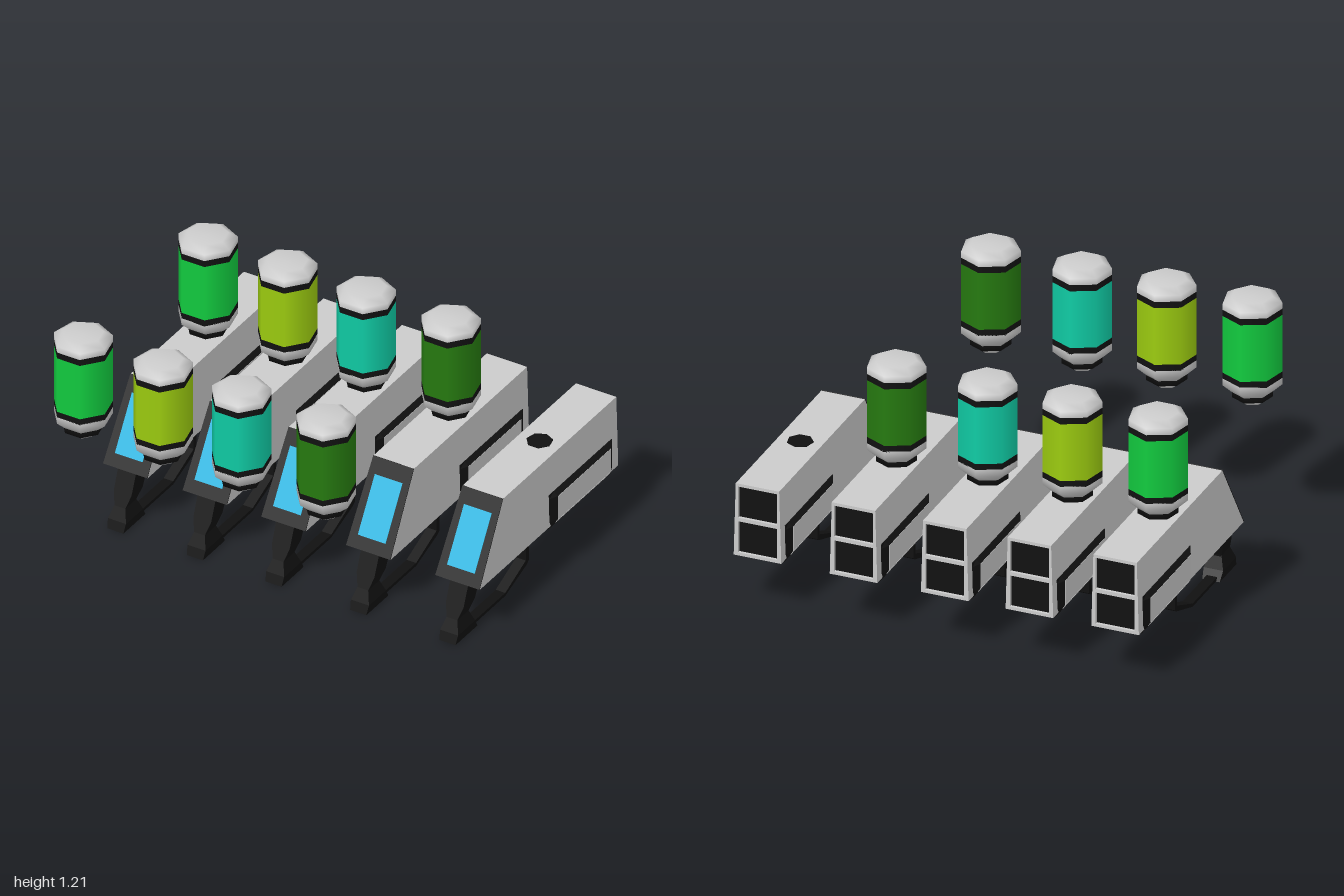
import * as THREE from 'three';

const mat = (color) => new THREE.MeshStandardMaterial({ color });
const grey = mat(0xcccccc), black = mat(0x111111), blue = mat(0x1fb5e0), red = mat(0x7a2c1c);

function add(parent, name, geometry, material, x = 0, y = 0, z = 0) {
  const mesh = new THREE.Mesh(geometry, material);
  mesh.name = name;
  mesh.position.set(x, y, z);
  parent.add(mesh);
  return mesh;
}

// Move every vertex by a rule, then give each face its own flat normal
function warp(geometry, rule) {
  const g = geometry.index ? geometry.toNonIndexed() : geometry;
  const p = g.attributes.position;
  for (let i = 0; i < p.count; i++) p.setXYZ(i, ...rule(p.getX(i), p.getY(i), p.getZ(i)));
  g.computeVertexNormals();
  return g;
}

const points = (list) => list.map(([x, y]) => new THREE.Vector2(x, y));
const outline = (list) => new THREE.Shape(points(list));

// Seven-sided turned piece, one corner pointing backwards
const turned = (list) => new THREE.LatheGeometry(points(list), 7, Math.PI, Math.PI * 2);

// Body measures
const LOW = 0.275, HIGH = 0.635, BACK = -0.835;
const frontZ = (y) => 0.345 - (y - LOW) / (HIGH - LOW) * 0.217;

function bodyGeometry() {
  const shape = outline([[-0.115, LOW], [0.115, LOW], [0.105, HIGH], [-0.105, HIGH]]);
  for (const [a, b] of [[0.29, 0.446], [0.464, 0.62]]) {
    shape.holes.push(new THREE.Path(points([[-0.094, a], [-0.094, b], [0.094, b], [0.094, a]])));
  }
  const g = new THREE.ExtrudeGeometry(shape, { depth: 1, bevelEnabled: false });
  return warp(g, (x, y, z) => [x, y, z > 0.5 ? frontZ(y) : BACK]);
}

// Grip lofted through rows of [y, front z, back z, half width]
function gripGeometry() {
  const rows = [
    [0.005, 0.432, 0.245, 0.042], [0.05, 0.418, 0.272, 0.047], [0.11, 0.393, 0.298, 0.028],
    [0.17, 0.37, 0.272, 0.046], [0.28, 0.328, 0.22, 0.047],
  ];
  return warp(new THREE.BoxGeometry(1, 1, 1, 1, 4, 1), (x, y, z) => {
    const [h, front, back, half] = rows[Math.round((y + 0.5) * 4)];
    return [Math.sign(x) * half, h, z > 0 ? front : back];
  });
}

// Side housing: bulges past the body, chamfered on all four edges
function housingGeometry() {
  const rows = [[0.258, 0.107], [0.298, 0.132], [0.422, 0.132], [0.442, 0.113]];
  const cols = [[-0.785, 0.114], [-0.745, 0.132], [-0.29, 0.132], [-0.25, 0.114]];
  return warp(new THREE.BoxGeometry(1, 1, 1, 1, 3, 3), (x, y, z) => {
    const [h, a] = rows[Math.round((y + 0.5) * 3)];
    const [d, b] = cols[Math.round((z + 0.5) * 3)];
    return [Math.sign(x) * Math.min(a, b), h, d];
  });
}

// Guard loop, drawn in (z, y) and turned to lie along the body
function guardGeometry() {
  const shape = outline([[0.33, 0.276], [-0.22, 0.276], [-0.22, 0.085], [-0.2, 0.07], [-0.02, 0.007], [0.4, 0.007], [0.36, 0.15]]);
  shape.holes.push(new THREE.Path(points([[0.29, 0.246], [-0.195, 0.246], [-0.195, 0.097], [-0.02, 0.023], [0.3, 0.023]])));
  const g = new THREE.ExtrudeGeometry(shape, { depth: 0.05, bevelEnabled: false });
  return g.rotateY(-Math.PI / 2).translate(0.025, 0, 0);
}

function makeBlaster() {
  const g = new THREE.Group();
  add(g, 'body', bodyGeometry(), grey);
  for (const y of [0.368, 0.542]) add(g, 'rearOpening', new THREE.BoxGeometry(0.188, 0.156, 0.1), black, 0, y, BACK + 0.065);

  // Sloped front plate with its screen
  const face = new THREE.Group();
  face.name = 'frontFace';
  face.position.set(0, (LOW + HIGH) / 2, (frontZ(LOW) + frontZ(HIGH)) / 2);
  face.rotation.x = -Math.atan2(0.217, 0.36);
  const plate = outline([[-0.115, -0.21], [0.115, -0.21], [0.105, 0.21], [-0.105, 0.21]]);
  add(face, 'frontPlate', new THREE.ExtrudeGeometry(plate, { depth: 0.004, bevelEnabled: false }), black);
  add(face, 'screen', new THREE.BoxGeometry(0.144, 0.281, 0.006), blue, 0, -0.008, 0.003);
  g.add(face);

  // Housing with inset panels on both sides and underneath
  add(g, 'housing', housingGeometry(), black);
  for (const s of [-1, 1]) add(g, 'sidePanel', new THREE.BoxGeometry(0.004, 0.122, 0.45), grey, s * 0.1315, 0.36, -0.517);
  for (const s of [-1, 1]) {
    const low = add(g, 'lowerSidePanel', new THREE.BoxGeometry(0.004, 0.024, 0.45), grey, s * 0.1255, 0.288, -0.517);
    low.rotation.z = -s * Math.atan2(0.025, 0.04);
  }
  add(g, 'bottomPanel', new THREE.BoxGeometry(0.18, 0.004, 0.45), grey, 0, 0.258, -0.517);

  add(g, 'grip', gripGeometry(), black);
  add(g, 'guard', guardGeometry(), black);
  const trigger = add(g, 'trigger', new THREE.BoxGeometry(0.025, 0.045, 0.03), red, 0, 0.218, 0.24);
  trigger.rotation.x = 0.35;
  add(g, 'socket', new THREE.CylinderGeometry(0.061, 0.061, 0.006, 7).rotateY(Math.PI), black, 0, HIGH, -0.353);
  return g;
}

function makeCanister(color) {
  const g = new THREE.Group(), R = 0.136;
  add(g, 'neck', turned([[0, 0], [0.057, 0], [0.057, 0.03]]), grey);
  add(g, 'neckRing', turned([[0, 0.026], [0.094, 0.026], [0.094, 0.055]]), black);
  add(g, 'lowerCap', turned([[0, 0.05], [0.095, 0.052], [R, 0.09], [R, 0.125]]), grey);
  add(g, 'lowerBand', turned([[R, 0.122], [R, 0.154]]), black);
  add(g, 'tank', turned([[R, 0.154], [R, 0.438]]), mat(color));
  add(g, 'upperBand', turned([[R, 0.438], [R, 0.469]]), black);
  add(g, 'upperCap', turned([[R, 0.469], [R, 0.5], [0.094, 0.526], [0, 0.527]]), grey);
  return g;
}

export function createModel() {
  const model = new THREE.Group();
  model.name = 'blasterSet';
  const columns = [[-0.864, 0x12cc3f], [-0.45, 0x9ccc10], [-0.041, 0x10cca5], [0.4, 0x267a10], [0.864, null]];
  const place = (group, name, x, y, z) => {
    group.name = name;
    group.position.set(x, y, z);
    model.add(group);
  };
  for (const [x, color] of columns) {
    place(makeBlaster(), 'blaster', x, 0, 0);
    if (color === null) continue;
    // One canister mounted on top, a spare floating in front
    place(makeCanister(color), 'mountedCanister', x, 0.618, -0.353);
    place(makeCanister(color), 'spareCanister', x, 0.689, 0.709);
  }
  return model;
}
